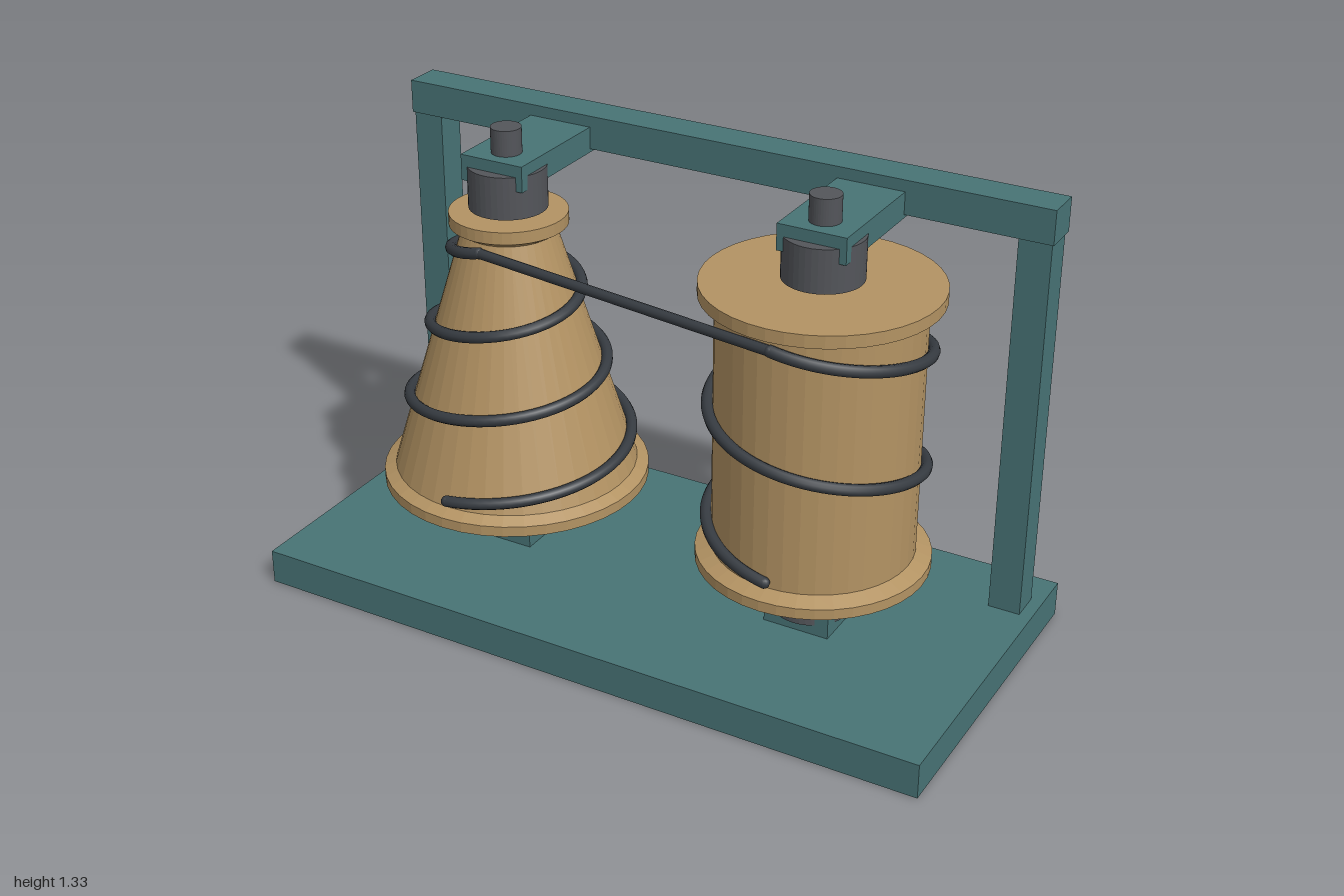
import * as THREE from 'three';

const mat = (name, color) => {
  const m = new THREE.MeshStandardMaterial({ color });
  m.name = name;
  return m;
};

// Helix that starts at the front (+z) and rises; radiusAt gives the radius at each height
class Helix extends THREE.Curve {
  constructor(radiusAt, y0, y1, turns) {
    super();
    Object.assign(this, { radiusAt, y0, y1, turns });
  }
  getPoint(t, target = new THREE.Vector3()) {
    const y = this.y0 + (this.y1 - this.y0) * t;
    const a = this.turns * Math.PI * 2 * t;
    const r = this.radiusAt(y);
    return target.set(r * Math.sin(a), y, r * Math.cos(a));
  }
}

export function createModel() {
  const model = new THREE.Group();
  model.name = 'cordAndPulleyStand';
  const frame = mat('teal frame', 0x487375);
  const wood = mat('tan wood', 0xb39363);
  const steel = mat('dark steel', 0x53555a);
  const cord = mat('black cord', 0x363b41);

  const add = (parent, name, geometry, material, x = 0, y = 0, z = 0) => {
    const mesh = new THREE.Mesh(geometry, material);
    mesh.name = name;
    mesh.position.set(x, y, z);
    parent.add(mesh);
    return mesh;
  };
  // Box given by its limits on each axis
  const box = (parent, name, x0, x1, y0, y1, z0, z1) => add(parent, name,
    new THREE.BoxGeometry(x1 - x0, y1 - y0, z1 - z0), frame,
    (x0 + x1) / 2, (y0 + y1) / 2, (z0 + z1) / 2);
  const cylinder = (parent, name, r, y0, y1) => add(parent, name,
    new THREE.CylinderGeometry(r, r, y1 - y0, 40).toNonIndexed(), steel, 0, (y0 + y1) / 2, 0)
    .geometry.computeVertexNormals();

  // Frame: base, posts and top beam
  box(model, 'base', -1, 1, 0, 0.1, -0.475, 0.475);
  box(model, 'leftPost', 0.875, 0.965, 0.1, 1.265, -0.362, -0.273);
  box(model, 'rightPost', -0.965, -0.875, 0.1, 1.265, -0.362, -0.273);
  box(model, 'topBeam', -0.97, 0.97, 1.19, 1.285, -0.373, -0.267);

  // Spool with its shaft, bearings, supports and wound cord
  const cordOffset = 0.014, cordY0 = 0.355, cordY1 = 1.015;
  const buildSpool = (name, x, rBottom, rTop, flangeBottom, flangeTop, turns) => {
    const g = new THREE.Group();
    g.name = name;
    g.position.x = x;
    model.add(g);

    const profile = [[0, 0.285], [flangeBottom, 0.285], [flangeBottom, 0.315], [rBottom, 0.332],
      [rTop, 1.033], [flangeTop, 1.053], [flangeTop, 1.088], [0, 1.088]]
      .map(([r, y]) => new THREE.Vector2(r, y));
    const body = new THREE.LatheGeometry(profile, 40).toNonIndexed();
    body.computeVertexNormals();
    add(g, 'spoolBody', body, wood);

    cylinder(g, 'shaft', 0.042, 0.11, 1.325);
    cylinder(g, 'lowerBearing', 0.108, 0.13, 0.25);
    cylinder(g, 'upperBearing', 0.108, 1.1, 1.22);
    box(g, 'lowerSupport', -0.095, 0.095, 0.1, 0.19, -0.092, 0.092);
    box(g, 'upperArm', -0.096, 0.096, 1.18, 1.253, -0.3, 0.076);

    const radiusAt = (y) => THREE.MathUtils.mapLinear(y, 0.332, 1.033, rBottom, rTop) + cordOffset;
    const helix = new Helix(radiusAt, cordY0, cordY1, turns);
    add(g, 'woundCord', new THREE.TubeGeometry(helix, 180, 0.016, 10), cord);
    for (const t of [0, 1]) {
      const p = helix.getPoint(t);
      add(g, 'cordEnd', new THREE.SphereGeometry(0.016, 10, 8), cord, p.x, p.y, p.z);
    }
    return helix.getPoint(1).add(g.position);
  };
  const from = buildSpool('conicalSpool', -0.47, 0.343, 0.13, 0.376, 0.163, 3);
  const to = buildSpool('straightSpool', 0.47, 0.273, 0.273, 0.316, 0.316, -2);

  // Cord stretched between the two spools
  add(model, 'crossingCord',
    new THREE.TubeGeometry(new THREE.LineCurve3(from, to), 1, 0.014, 10), cord);

  return model;
}
